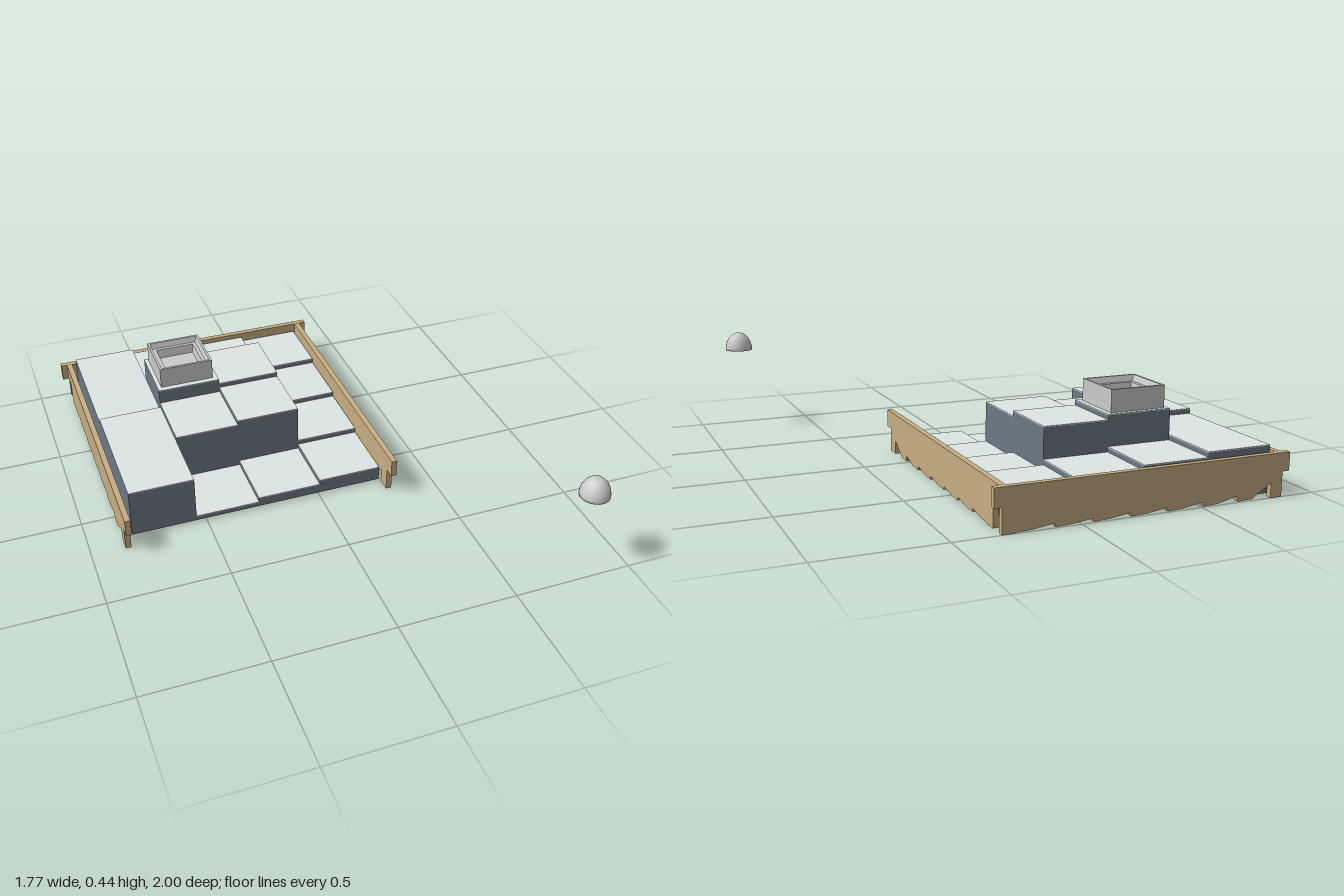
import * as THREE from 'three';

const mat = (color, extra = {}) => new THREE.MeshStandardMaterial({ color, ...extra });

export function createModel() {
  const model = new THREE.Group();
  const stone = mat(0x6c7a84), paving = mat(0xdde6e6), wood = mat(0xc8ae82);
  const grey = mat(0xcccccc, { side: THREE.DoubleSide });
  const greyFlat = mat(0xcccccc, { side: THREE.DoubleSide, flatShading: true });

  const add = (name, geometry, material, parent = model) => {
    const mesh = new THREE.Mesh(geometry, material);
    mesh.name = name;
    parent.add(mesh);
    return mesh;
  };
  const box = (name, material, parent, x0, x1, y0, y1, z0, z1) =>
    add(name, new THREE.BoxGeometry(x1 - x0, y1 - y0, z1 - z0), material, parent)
      .position.set((x0 + x1) / 2, (y0 + y1) / 2, (z0 + z1) / 2);

  // Terraced blocks climbing in a spiral: [column, row from back, rows deep]
  const base = 0.01, step = 0.0213, cap = 0.004;
  const colX = (c) => -0.817 + 0.274 * c, rowZ = (r) => -0.967 + 0.279 * r;
  const spiral = [
    [1, 3, 1], [2, 3, 1], [3, 3, 1], [3, 2, 1], [3, 1, 1], [3, 0, 1], [2, 0, 1], [1, 0, 1],
    [0, 0, 2], [0, 2, 2], [1, 2, 1], [2, 2, 1], [2, 1, 1], [1, 1, 1],
  ];
  const terraces = new THREE.Group();
  terraces.name = 'terraces';
  model.add(terraces);
  spiral.forEach(([c, r, deep], i) => {
    const top = base + step * (i + 1);
    const x0 = colX(c), x1 = colX(c + 1), z0 = rowZ(r), z1 = rowZ(r + deep);
    if (c === 0 && r === 0) {
      // this long block has a shallow recess under its front half
      box('terraceBlock', stone, terraces, x0, x1, base, top - cap, z0, rowZ(1));
      box('terraceBlock', stone, terraces, x0, x1, base + step, top - cap, rowZ(1), z1);
    } else {
      box('terraceBlock', stone, terraces, x0, x1, base, top - cap, z0, z1);
    }
    box('terraceTop', paving, terraces, x0, x1, top - cap, top, z0, z1);
  });

  // Notched fence board with a ragged lower edge
  function board(u0, u1, overhang, post, endNotch, endPost, thickness) {
    const s = new THREE.Shape();
    const a = u0 + overhang + post, b = u1 - endNotch - endPost;
    const teeth = [0.06, 0.026, 0.02, 0.018, 0.018, 0.016, 0.018];
    const w = (b - a) / teeth.length;
    s.moveTo(u0, 0.175);
    s.lineTo(u0, 0.1);
    s.lineTo(u0 + overhang, 0.1);
    s.lineTo(u0 + overhang, 0);
    s.lineTo(a, 0);
    teeth.forEach((h, i) => {
      s.lineTo(a + w * i, h);
      s.lineTo(a + w * (i + 0.55), 0.006);
      s.lineTo(a + w * (i + 0.97), 0.003);
    });
    s.lineTo(b, 0);
    s.lineTo(u1 - endNotch, 0);
    s.lineTo(u1 - endNotch, 0.1);
    s.lineTo(u1, 0.1);
    s.lineTo(u1, 0.175);
    return new THREE.ExtrudeGeometry(s, { depth: thickness, bevelEnabled: false });
  }
  for (const [name, x] of [['leftFence', 0.288], ['rightFence', -0.86]]) {
    const side = board(-0.257, 0.975, 0.045, 0.06, 0.055, 0.04, 0.024);
    side.rotateY(Math.PI / 2);
    add(name, side, wood).position.x = x;
  }
  add('backFence', board(-0.887, 0.342, 0.03, 0.05, 0.03, 0.05, 0.024), wood).position.z = -1;

  // Square hollow cap on the highest block
  const rim = [
    [0.118, 0.308], [0.118, 0.4], [0.108, 0.4], [0.1, 0.375],
    [0.085, 0.375], [0.08, 0.335], [0, 0.335],
  ].map(([half, y]) => new THREE.Vector2(half * Math.SQRT2, y));
  add('squareCap', new THREE.LatheGeometry(rim, 4, Math.PI / 4), greyFlat)
    .position.set(-0.408, 0, -0.552);

  // Hollow dome floating off the front corner
  const shell = [[0.034, 0.04], [0.05, 0.018], [0.052, 0], [0.061, 0], [0.061, 0.012],
    [0.056, 0.034], [0.045, 0.056], [0.03, 0.071], [0.015, 0.078], [0, 0.08]]
    .map(([r, y]) => new THREE.Vector2(r, y));
  shell.unshift(new THREE.Vector2(0, 0.052));
  add('floatingDome', new THREE.LatheGeometry(shell, 24), grey).position.set(0.822, 0.365, 0.939);

  return model;
}
